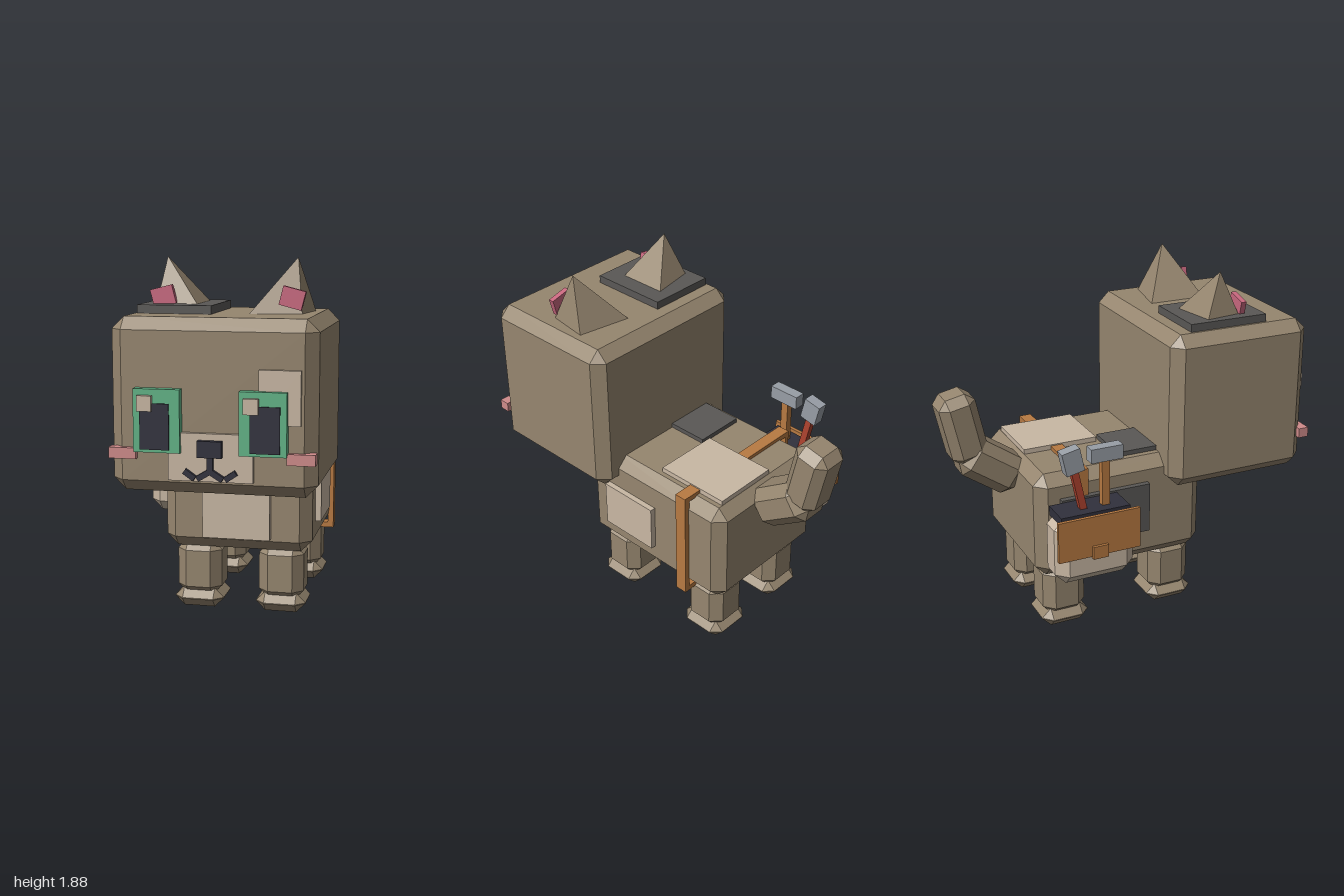
import * as THREE from 'three';
import { ConvexGeometry } from 'three/addons/geometries/ConvexGeometry.js';

const material = (name, color) => {
  const m = new THREE.MeshStandardMaterial({ color });
  m.name = name;
  return m;
};
const fur = material('brown fur', 0x96866f);
const cream = material('cream', 0xc9b8a4);
const green = material('eye green', 0x62b487);
const navy = material('dark navy', 0x31313d);
const charcoal = material('charcoal', 0x5a5856);
const blush = material('blush pink', 0xd08c8b);
const rose = material('ear rose', 0xc9687f);
const leather = material('tan leather', 0xb87a42);
const steel = material('steel', 0x989ea6);
const red = material('red', 0xb0432f);

const MID = 0.073; // centre line of the body and head

// Box with every edge cut flat
function chamferGeometry(w, h, d, c) {
  const pts = [];
  for (const x of [-1, 1]) for (const y of [-1, 1]) for (const z of [-1, 1]) {
    const a = w / 2, b = h / 2, e = d / 2;
    pts.push(
      new THREE.Vector3(x * a, y * (b - c), z * (e - c)),
      new THREE.Vector3(x * (a - c), y * b, z * (e - c)),
      new THREE.Vector3(x * (a - c), y * (b - c), z * e));
  }
  return new ConvexGeometry(pts);
}

export function createModel() {
  const model = new THREE.Group();
  model.name = 'cat';

  const add = (name, geometry, mat, x = 0, y = 0, z = 0, parent = model) => {
    const mesh = new THREE.Mesh(geometry, mat);
    mesh.name = name;
    mesh.position.set(x, y, z);
    parent.add(mesh);
    return mesh;
  };
  const group = (name) => {
    const g = new THREE.Group();
    g.name = name;
    model.add(g);
    return g;
  };
  // Boxes given by their limits on each axis
  const box = (name, mat, [x0, x1], [y0, y1], [z0, z1], parent = model) =>
    add(name, new THREE.BoxGeometry(x1 - x0, y1 - y0, z1 - z0), mat,
      (x0 + x1) / 2, (y0 + y1) / 2, (z0 + z1) / 2, parent);
  const chamferBox = (name, mat, [x0, x1], [y0, y1], [z0, z1], c, parent = model) =>
    add(name, chamferGeometry(x1 - x0, y1 - y0, z1 - z0, c), mat,
      (x0 + x1) / 2, (y0 + y1) / 2, (z0 + z1) / 2, parent);

  // Head and body
  chamferBox('head', fur, [-0.43, 0.577], [0.767, 1.613], [0.122, 0.93], 0.06);
  chamferBox('body', fur, [-0.323, 0.465], [0.34, 0.93], [-0.606, 0.36], 0.06);

  // Legs and paws
  for (const side of [-1, 1]) for (const [end, z] of [['front', 0.205], ['back', -0.428]]) {
    const leg = group(end + 'Leg');
    const x = MID + side * 0.223;
    chamferBox('leg', fur, [x - 0.121, x + 0.121], [0.06, 0.37], [z - 0.121, z + 0.121], 0.055, leg);
    chamferBox('paw', fur, [x - 0.134, x + 0.134], [0, 0.104], [z - 0.134, z + 0.134], 0.05, leg);
  }

  // Tail
  add('tailBase', chamferGeometry(0.24, 0.36, 0.22, 0.055), fur, MID, 0.896, -0.73).rotation.x = -0.96;
  add('tailTip', chamferGeometry(0.215, 0.38, 0.2, 0.047), fur, MID - 0.003, 1.13, -0.873).rotation.x = -0.21;

  // Ears: leaning four-sided pyramids
  for (const side of [-1, 1]) {
    const corners = [[0.115, 1.61, 0.295], [0.41, 1.6, 0.345], [0.375, 1.6, 0.585], [0.115, 1.61, 0.62], [0.333, 1.885, 0.465]];
    add('ear', new ConvexGeometry(corners.map(([x, y, z]) => new THREE.Vector3(MID + side * x, y, z))), fur);
    add('innerEar', new THREE.BoxGeometry(0.115, 0.095, 0.03), rose, MID + side * 0.325, 1.69, 0.58)
      .rotation.z = -side * 0.25;
  }
  box('earPatch', charcoal, [-0.358, 0.017], [1.605, 1.655], [0.25, 0.694]);

  // Eyes, each with the highlight on the same side
  for (const x of [-0.185, 0.328]) {
    const eye = group('eye');
    const inner = x < MID ? -0.265 : 0.268;
    const shine = x < MID ? -0.275 : 0.238;
    box('iris', green, [x - 0.114, x + 0.114], [0.975, 1.28], [0.92, 0.976], eye);
    box('pupil', navy, [inner, inner + 0.143], [0.99, 1.212], [0.975, 0.984], eye);
    box('highlight', cream, [shine, shine + 0.072], [1.175, 1.25], [0.97, 1.0], eye);
  }

  // Muzzle, nose, mouth and cheeks
  box('muzzle', cream, [-0.135, 0.278], [0.84, 1.072], [0.92, 0.953]);
  box('foreheadPatch', cream, [0.304, 0.503], [1.12, 1.38], [0.92, 0.95]);
  box('nose', navy, [0.014, 0.132], [0.96, 1.04], [0.94, 0.982]);
  box('mouthStem', navy, [0.058, 0.088], [0.88, 0.965], [0.94, 0.972]);
  for (const side of [-1, 1]) {
    add('innerMouth', new THREE.BoxGeometry(0.07, 0.028, 0.03), navy, MID + side * 0.032, 0.873, 0.957)
      .rotation.z = -side * 0.55;
    add('outerMouth', new THREE.BoxGeometry(0.062, 0.028, 0.03), navy, MID + side * 0.1, 0.873, 0.957)
      .rotation.z = side * 0.6;
    const x = MID + side * 0.434;
    box('cheek', blush, [x - 0.068, x + 0.068], [0.936, 0.99], [0.9, 0.958]);
  }

  // Coat patches
  box('chestPatch', cream, [-0.106, 0.254], [0.413, 0.8], [0.34, 0.4]);
  box('sidePatch', cream, [0.44, 0.496], [0.484, 0.745], [-0.145, 0.2]);
  box('backPatch', cream, [0.013, 0.38], [0.91, 0.957], [-0.545, -0.125]);
  box('shoulderPatch', charcoal, [-0.23, 0.05], [0.91, 0.955], [-0.107, 0.14]);
  box('flankPatch', charcoal, [-0.354, -0.31], [0.522, 0.8], [-0.48, 0.025]);

  // Strap around the body
  const strap = group('strap');
  box('strapTop', leather, [-0.338, 0.493], [0.92, 0.95], [-0.392, -0.325], strap);
  box('strapBottom', leather, [-0.338, 0.48], [0.315, 0.345], [-0.392, -0.325], strap);
  box('strapLeft', leather, [0.46, 0.492], [0.315, 0.95], [-0.392, -0.325], strap);
  box('strapRight', leather, [-0.338, -0.315], [0.315, 0.95], [-0.392, -0.325], strap);

  // Side bag
  const bag = group('bag');
  chamferBox('pouch', cream, [-0.553, -0.335], [0.403, 0.775], [-0.585, -0.145], 0.06, bag);
  box('opening', navy, [-0.522, -0.358], [0.74, 0.792], [-0.555, -0.172], bag);
  box('flap', leather, [-0.567, -0.548], [0.565, 0.79], [-0.59, -0.135], bag);
  box('clasp', leather, [-0.583, -0.56], [0.555, 0.625], [-0.405, -0.32], bag);

  // Tools standing in the bag
  box('hammerHandle', leather, [-0.469, -0.43], [0.74, 1.06], [-0.305, -0.262], bag);
  box('hammerHead', steel, [-0.482, -0.42], [1.042, 1.118], [-0.37, -0.193], bag);
  const wrench = group('wrench');
  wrench.position.set(-0.45, 1.067, -0.467);
  wrench.rotation.x = -0.21;
  add('wrenchHead', new THREE.BoxGeometry(0.063, 0.127, 0.1), steel, 0, 0, 0, wrench);
  add('wrenchHandle', new THREE.BoxGeometry(0.036, 0.28, 0.038), red, 0, -0.19, 0, wrench);

  return model;
}
